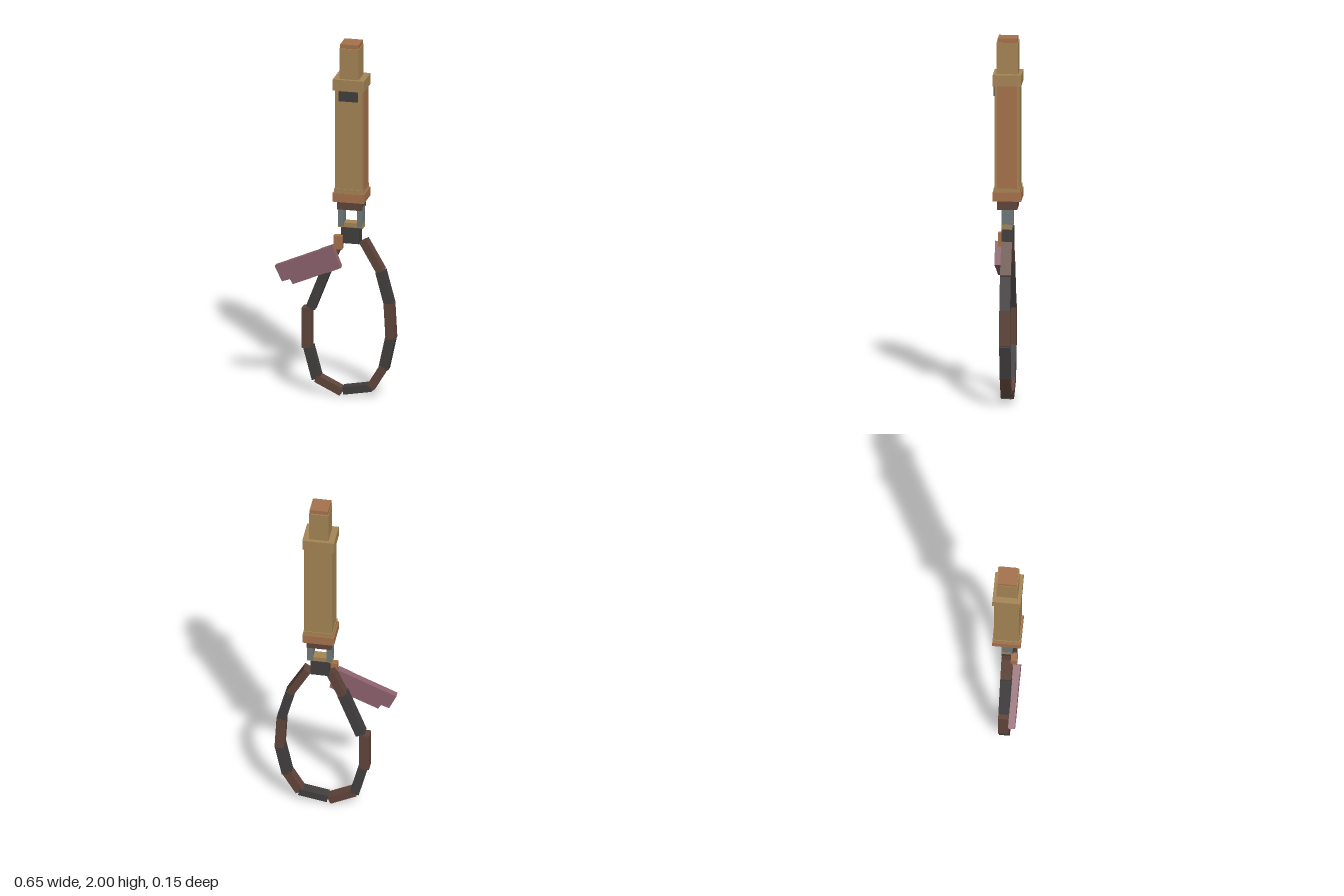
import * as THREE from 'three';

const paint = (name, color) => {
  const m = new THREE.MeshStandardMaterial({ color });
  m.name = name;
  return m;
};

export function createModel() {
  const tan = paint('tan', 0xa58555);
  const copper = paint('copper', 0xa5724c);
  const dark = paint('charcoal', 0x413e3e);
  const brown = paint('brown', 0x60453a);
  const steel = paint('steel', 0x6e7879);
  const mauve = paint('mauve', 0x8d626d);

  const model = new THREE.Group();
  model.name = 'strappedHandle';
  const CX = 0.076; // axis of the handle

  const add = (name, geometry, material, parent = model) => {
    const mesh = new THREE.Mesh(geometry, material);
    mesh.name = name;
    parent.add(mesh);
    return mesh;
  };
  // Box spanning y0..y1, centred on x, z
  const block = (name, material, w, y0, y1, d, x = CX, z = -0.001) =>
    add(name, new THREE.BoxGeometry(w, y1 - y0, d), material).position.set(x, (y0 + y1) / 2, z);

  // Handle, from the top down
  block('topCap', copper, 0.1, 1.975, 2, 0.104);
  block('neck', tan, 0.106, 1.8, 1.977, 0.116);
  block('upperCollar', tan, 0.172, 1.745, 1.806, 0.153);
  block('grip', tan, 0.15, 1.16, 1.75, 0.134);
  block('sidePanel', copper, 0.008, 1.185, 1.745, 0.108, CX + 0.077);
  block('frontPlate', dark, 0.106, 1.685, 1.74, 0.008, CX, 0.07);
  block('lowerTrim', tan, 0.158, 1.16, 1.188, 0.142);
  block('lowerCollar', copper, 0.172, 1.115, 1.165, 0.153);
  block('basePlug', brown, 0.136, 1.066, 1.118, 0.108);

  // Open shackle and strap clamp
  for (const side of [-1, 1])
    block(side > 0 ? 'leftPost' : 'rightPost', steel, 0.032, 0.965, 1.08, 0.058, CX + side * 0.052, 0);
  block('shackleBar', tan, 0.138, 0.958, 0.985, 0.054, CX, 0);
  block('strapClamp', dark, 0.1, 0.87, 0.96, 0.062, CX, 0);

  // Strap loop: start, end and width of each link, colours alternating
  const strap = new THREE.Group();
  strap.name = 'strapLoop';
  model.add(strap);
  const links = [
    [0.145, 0.885, 0.24, 0.72, 0.043], [0.238, 0.72, 0.286, 0.54, 0.05],
    [0.285, 0.545, 0.296, 0.345, 0.052], [0.296, 0.36, 0.256, 0.172, 0.053],
    [0.258, 0.182, 0.186, 0.062, 0.047], [0.19, 0.061, 0.034, 0.033, 0.042],
    [0.026, 0.024, -0.114, 0.092, 0.043], [-0.112, 0.088, -0.159, 0.265, 0.05],
    [-0.166, 0.26, -0.166, 0.486, 0.053], [-0.145, 0.487, -0.045, 0.745, 0.052],
    [-0.045, 0.74, 0.02, 0.885, 0.043],
  ];
  links.forEach(([x0, y0, x1, y1, w], i) => {
    const dx = x1 - x0, dy = y1 - y0;
    const link = add('strapLink' + (i + 1), new THREE.BoxGeometry(w, Math.hypot(dx, dy), 0.058),
      i % 2 ? dark : brown, strap);
    link.position.set((x0 + x1) / 2, (y0 + y1) / 2, 0);
    link.rotation.z = Math.atan2(-dx, dy);
  });

  // Tag hung from the front of the strap by a small clip
  block('tagClip', copper, 0.047, 0.84, 0.916, 0.034, 0.013, 0.039);
  const plate = (name, points, z, depth) => {
    const shape = new THREE.Shape(points.map(([x, y]) => new THREE.Vector2(x, y)));
    add(name, new THREE.ExtrudeGeometry(shape, { depth, bevelEnabled: false }), mauve).position.z = z;
  };
  plate('tagBody', [[-0.33, 0.726], [-0.29, 0.642], [-0.246, 0.658], [-0.23, 0.631],
    [-0.03, 0.716], [-0.07, 0.838]], 0.038, 0.036);
  plate('tagHead', [[-0.085, 0.833], [-0.04, 0.709], [0.034, 0.742], [-0.013, 0.864]], 0.036, 0.039);

  return model;
}
